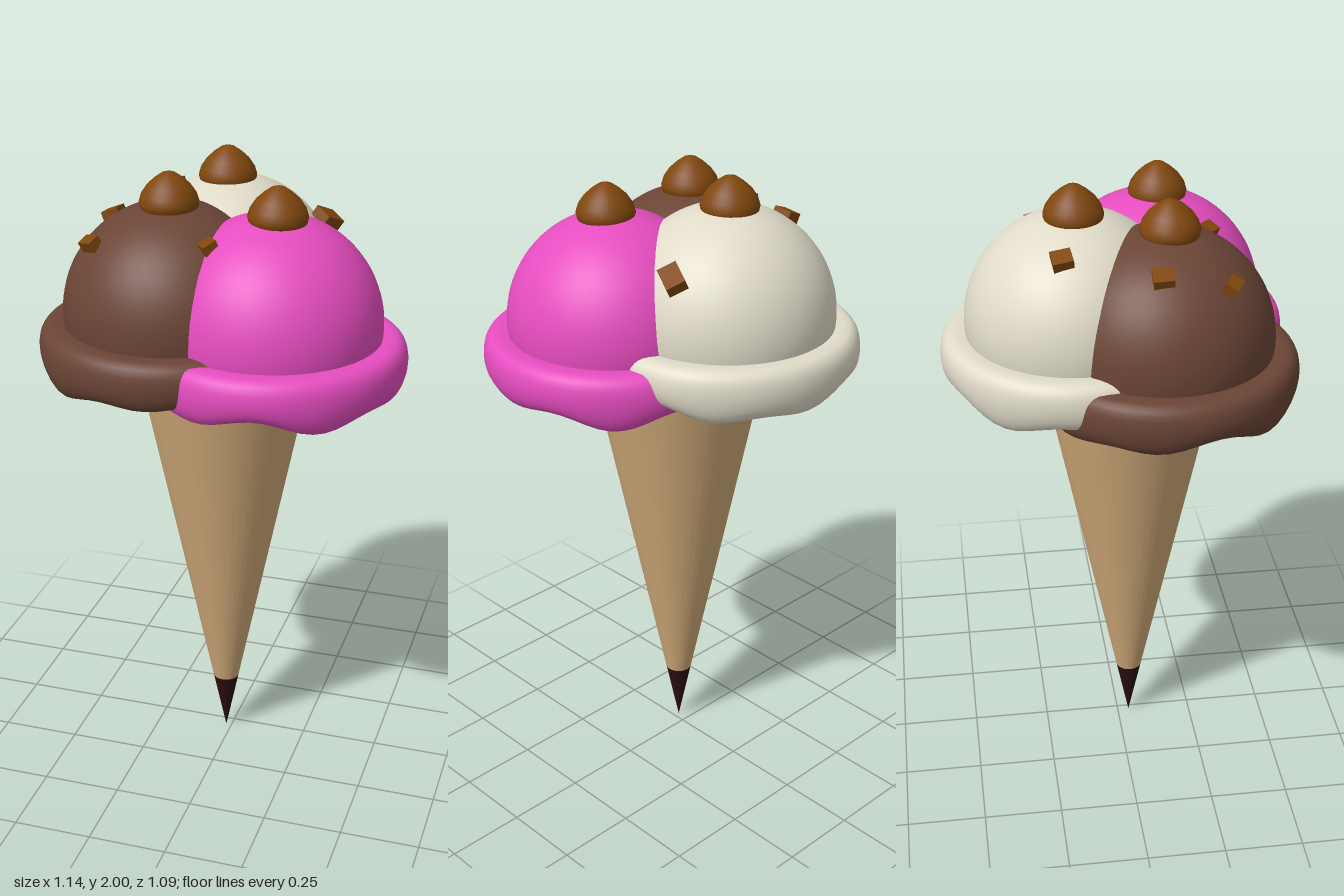
import * as THREE from 'three';
import { mergeVertices } from 'three/addons/utils/BufferGeometryUtils.js';

const mat = (name, color, side = THREE.FrontSide) => {
  const m = new THREE.MeshStandardMaterial({ color, side });
  m.name = name;
  return m;
};

const v2 = (pts) => pts.map(([x, y]) => new THREE.Vector2(x, y));

// Drooping collar: a hollow ring whose lower lip rises and falls
function collarGeometry(phase) {
  const curve = new THREE.SplineCurve(v2([
    [0.325, 0.0], [0.335, -0.06], [0.345, -0.115], [0.362, -0.15], [0.385, -0.145],
    [0.403, -0.115], [0.41, -0.07], [0.402, -0.025], [0.375, 0.0], [0.322, 0.0],
  ]));
  let geo = new THREE.LatheGeometry(curve.getPoints(27), 64);
  const p = geo.attributes.position;
  for (let i = 0; i < p.count; i++) {
    const y = p.getY(i);
    const a = Math.atan2(p.getZ(i), p.getX(i)) + phase;
    const wave = 0.012 * Math.sin(7 * a) + 0.012 * Math.sin(4 * a + 1);
    const droop = THREE.MathUtils.clamp(-y / 0.15, 0, 1);
    p.setY(i, y + wave * droop * droop);
  }
  geo.deleteAttribute('uv');
  geo.deleteAttribute('normal');
  geo = mergeVertices(geo, 1e-5);
  geo.computeVertexNormals();
  return geo;
}

export function createModel() {
  const root = new THREE.Group();
  root.name = 'iceCream';
  const wafer = mat('wafer', 0xcfaa78, THREE.DoubleSide);
  const darkTip = mat('dark chocolate', 0x2a0e10);
  const nut = mat('caramel', 0x80470d);

  const add = (parent, name, geo, material, x = 0, y = 0, z = 0) => {
    const m = new THREE.Mesh(geo, material);
    m.name = name;
    m.position.set(x, y, z);
    parent.add(m);
    return m;
  };

  // Cone with dipped tip
  const ax = -0.018, az = 0.038, tipH = 0.21, coneH = 1.5, slope = 0.203;
  add(root, 'cone', new THREE.CylinderGeometry(coneH * slope, tipH * slope, coneH - tipH, 48, 1, true),
    wafer, ax, (coneH + tipH) / 2, az);
  add(root, 'coneTip', new THREE.CylinderGeometry(tipH * slope, 0, tipH, 48), darkTip, ax, tipH / 2, az);

  // Shared sweet drop, origin at its tip
  const dropGeo = new THREE.LatheGeometry(v2([
    [0, -0.14], [0.07, -0.13], [0.086, -0.11], [0.09, -0.092], [0.083, -0.068],
    [0.066, -0.043], [0.042, -0.021], [0.02, -0.006], [0, 0],
  ]), 32);

  // Scoops: domes, collars and drops
  const scoops = [
    { name: 'vanilla', color: 0xe0dbc9, c: [-0.055, 1.575, -0.135], drop: [-0.062, 2.0, -0.137], phase: 0.4 },
    { name: 'chocolate', color: 0x6b4536, c: [-0.16, 1.55, 0.118], drop: [-0.162, 1.98, 0.132], phase: 1.9 },
    { name: 'strawberry', color: 0xe64dc0, c: [0.158, 1.54, 0.13], drop: [0.176, 1.967, 0.146], phase: 3.3 },
  ];
  const domeGeo = new THREE.SphereGeometry(0.334, 48, 24, 0, Math.PI * 2, 0, Math.PI / 2 + 0.13);
  for (const s of scoops) {
    const scoop = new THREE.Group();
    scoop.name = s.name + 'Scoop';
    root.add(scoop);
    const m = mat(s.name, s.color, THREE.DoubleSide);
    add(scoop, 'dome', domeGeo, m, ...s.c);
    add(scoop, 'collar', collarGeometry(s.phase), m, s.c[0], s.c[1] - 0.035, s.c[2]);
    add(scoop, 'drop', dropGeo, nut, ...s.drop);
  }

  // Caramel chunks: position, size, scoop index whose surface they lie on, spin
  const chunks = [
    [[-0.25, 1.845, -0.19], [0.055, 0.035, 0.06], 0, 0.1],
    [[0.24, 1.775, -0.207], [0.06, 0.035, 0.085], 0, -0.5],
    [[-0.355, 1.82, 0.083], [0.055, 0.035, 0.06], 1, 0],
    [[-0.355, 1.785, 0.283], [0.055, 0.035, 0.04], 1, -0.5],
    [[0.005, 1.803, 0.275], [0.045, 0.04, 0.045], 2, 0.75],
  ];
  const up = new THREE.Vector3(0, 1, 0);
  for (const [pos, size, i, spin] of chunks) {
    const chunk = add(root, 'chunk', new THREE.BoxGeometry(...size), nut, ...pos);
    const normal = new THREE.Vector3(...pos).sub(new THREE.Vector3(...scoops[i].c)).normalize();
    normal.lerp(up, 0.4).normalize();
    chunk.quaternion.setFromUnitVectors(up, normal);
    chunk.rotateY(spin);
  }
  return root;
}
